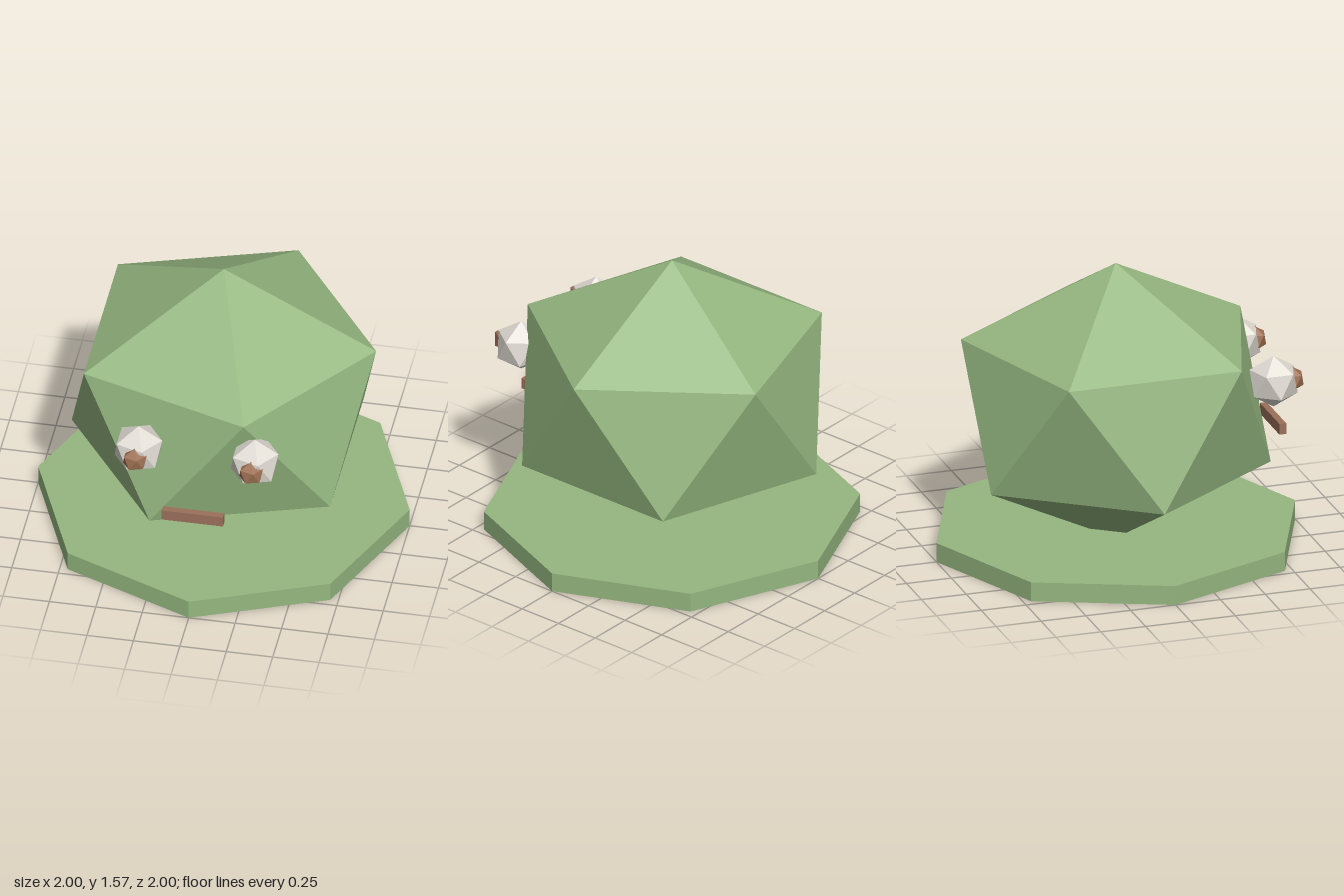
import * as THREE from 'three';

const mat = (name, color) => new THREE.MeshStandardMaterial({ name, color, flatShading: true });

// Twenty-sided ball standing on a point, with an upper ring corner on +x.
function poleBall(r) {
  const ring = (offset, y) => Array.from({ length: 5 }, (_, i) => {
    const a = ((i + offset) * Math.PI * 2) / 5;
    const q = (2 * r) / Math.sqrt(5);
    return [Math.cos(a) * q, y, -Math.sin(a) * q];
  });
  const h = r / Math.sqrt(5);
  const up = ring(0, h), low = ring(0.5, -h);
  const pos = [];
  for (let i = 0; i < 5; i++) {
    const j = (i + 1) % 5;
    pos.push(
      ...[0, r, 0], ...up[i], ...up[j],
      ...up[i], ...low[i], ...up[j],
      ...up[j], ...low[i], ...low[j],
      ...[0, -r, 0], ...low[j], ...low[i],
    );
  }
  const g = new THREE.BufferGeometry();
  g.setAttribute('position', new THREE.Float32BufferAttribute(pos, 3));
  g.computeVertexNormals();
  return g;
}

export function createModel() {
  const group = new THREE.Group();
  const green = mat('leaf green', 0x95b780);
  const white = mat('eye white', 0xdfdad2);
  const brown = mat('pupil brown', 0x9e7052);
  const mouthBrown = mat('mouth brown', 0x9b705b);

  const add = (name, geometry, material, x, y, z) => {
    const mesh = new THREE.Mesh(geometry, material);
    mesh.name = name;
    mesh.position.set(x, y, z);
    group.add(mesh);
    return mesh;
  };

  // Eight-sided base and slightly squashed body
  add('base', new THREE.CylinderGeometry(1, 1, 0.107, 8), green, 0, 0.0535, 0);
  add('body', poleBall(0.916), green, 0, 0.794, 0).scale.y = 0.85;

  // Eyes with pupils
  for (const [side, s] of [['left', 1], ['right', -1]]) {
    add(side + 'Eye', poleBall(0.143), white, s * 0.313, 0.923, 0.776);
    add(side + 'Pupil', poleBall(0.071), brown, s * 0.313, 0.923, 0.876);
  }

  // Mouth bar
  add('mouth', new THREE.BoxGeometry(0.33, 0.06, 0.038), mouthBrown, 0, 0.585, 0.877);
  return group;
}
